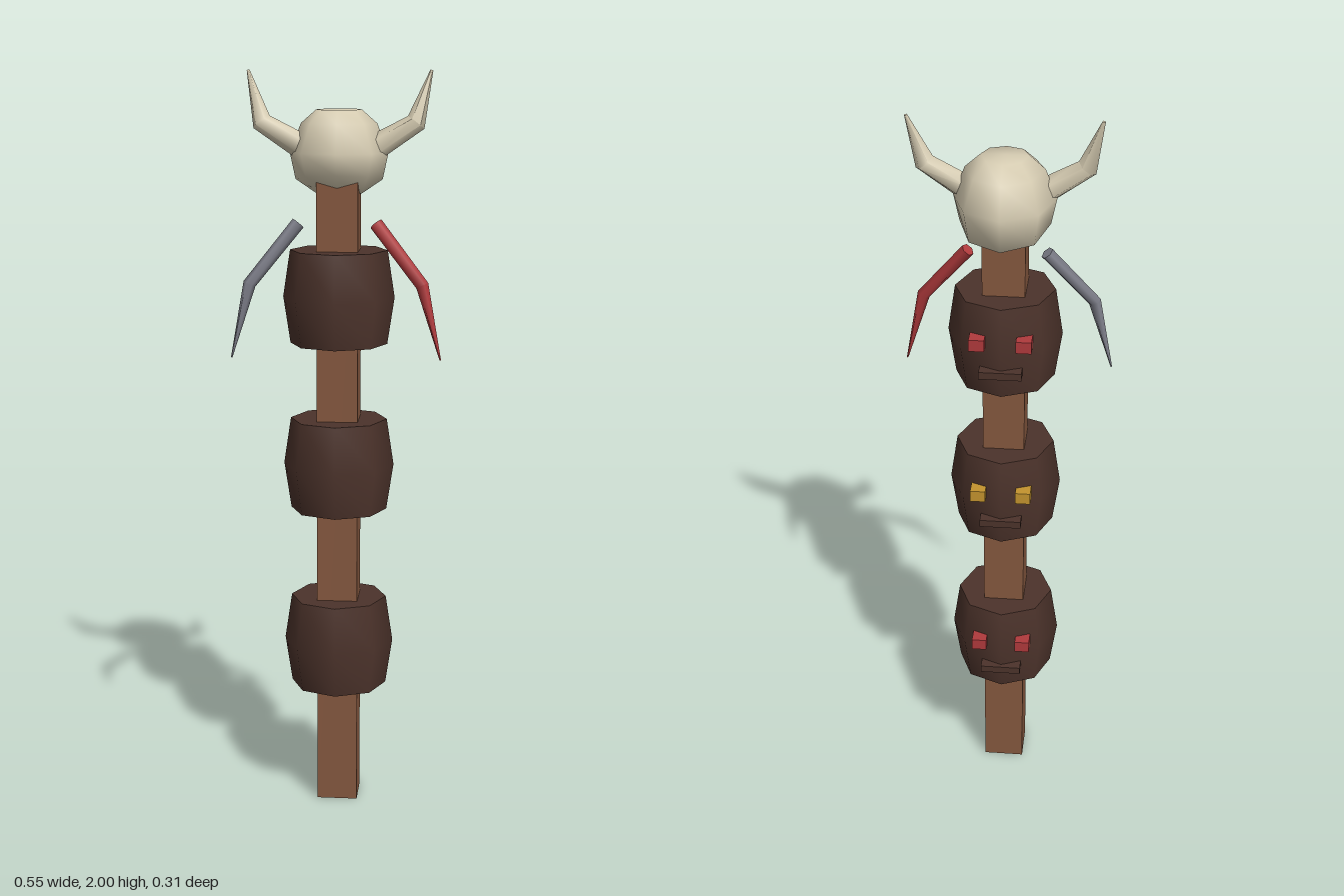
import * as THREE from 'three';
import { mergeVertices, toCreasedNormals } from 'three/addons/utils/BufferGeometryUtils.js';

const mat = (name, color) => {
  const m = new THREE.MeshStandardMaterial({ color });
  m.name = name;
  return m;
};

// Tapered bent limb: rings of vertices along a path, closed at both ends.
function limbGeometry(path, radii, sides = 6) {
  const pts = path.map((p) => new THREE.Vector3(...p));
  const pos = [];
  const index = [];
  pts.forEach((p, i) => {
    const dir = pts[Math.min(i + 1, pts.length - 1)].clone().sub(pts[Math.max(i - 1, 0)]).normalize();
    const u = new THREE.Vector3(0, 0, 1).cross(dir).normalize();
    const v = dir.clone().cross(u);
    for (let j = 0; j < sides; j++) {
      const a = (j / sides) * Math.PI * 2;
      const q = p.clone().addScaledVector(u, Math.cos(a) * radii[i]).addScaledVector(v, Math.sin(a) * radii[i]);
      pos.push(q.x, q.y, q.z);
    }
  });
  for (let i = 0; i < pts.length - 1; i++) {
    for (let j = 0; j < sides; j++) {
      const a = i * sides + j;
      const b = i * sides + ((j + 1) % sides);
      index.push(a, b, a + sides, b, b + sides, a + sides);
    }
  }
  const last = (pts.length - 1) * sides;
  for (let j = 1; j < sides - 1; j++) {
    index.push(0, j + 1, j, last, last + j, last + j + 1);
  }
  const g = new THREE.BufferGeometry();
  g.setAttribute('position', new THREE.Float32BufferAttribute(pos, 3));
  g.setIndex(index);
  return toCreasedNormals(g, 1.1);
}

// Eight-sided skull, longer towards the back and drooping there.
function skullGeometry() {
  const profile = [[0, 1.68], [0.06, 1.683], [0.115, 1.72], [0.13, 1.79], [0.1, 1.865], [0.06, 1.9], [0, 1.9]];
  let g = new THREE.LatheGeometry(profile.map(([r, y]) => new THREE.Vector2(r, y)), 8);
  const p = g.attributes.position;
  for (let i = 0; i < p.count; i++) {
    const z = p.getZ(i) * (p.getZ(i) > 0 ? 0.87 : 1.19);
    p.setZ(i, z);
    if (p.getY(i) < 1.75) p.setY(i, p.getY(i) + z * 0.15);
  }
  g.deleteAttribute('normal');
  g.deleteAttribute('uv');
  g = mergeVertices(g, 1e-4);
  g.computeVertexNormals();
  return g;
}

export function createModel() {
  const wood = mat('pole wood', 0x85583f);
  const dark = mat('dark wood', 0x4c332b);
  const bone = mat('bone', 0xd6ccb2);
  const red = mat('red', 0xb03a3c);
  const gold = mat('gold', 0xc4942e);
  const grey = mat('grey', 0x7e7f8a);

  const group = new THREE.Group();
  const add = (parent, name, geometry, material, x = 0, y = 0, z = 0) => {
    const mesh = new THREE.Mesh(geometry, material);
    mesh.name = name;
    mesh.position.set(x, y, z);
    parent.add(mesh);
    return mesh;
  };

  // Square pole
  add(group, 'pole', new THREE.BoxGeometry(0.11, 1.74, 0.11), wood, 0, 0.87, 0.008);

  // Three carved drums, each with a face on the back
  const drumProfile = [[0, -0.125], [0.13, -0.125], [0.149, 0], [0.13, 0.125], [0, 0.125]];
  const drumGeo = toCreasedNormals(
    new THREE.LatheGeometry(drumProfile.map(([r, y]) => new THREE.Vector2(r, y)), 8), 0.9);
  const eyeGeo = new THREE.BoxGeometry(0.04, 0.032, 0.045);
  const mouthGeo = new THREE.BoxGeometry(0.11, 0.02, 0.045);
  [[0.455, red], [0.955, gold], [1.41, red]].forEach(([y, eyeColor]) => {
    const drum = new THREE.Group();
    drum.name = 'drum';
    drum.position.set(0, y, 0.007);
    add(drum, 'drumBody', drumGeo, dark);
    for (const s of [-1, 1]) add(drum, 'eye', eyeGeo, eyeColor, s * 0.06, 0.032, -0.129);
    add(drum, 'mouth', mouthGeo, dark, 0, -0.052, -0.132);
    group.add(drum);
  });

  // Skull with bent horns, and a hanging spike on each side
  add(group, 'skull', skullGeometry(), bone);
  for (const s of [1, -1]) {
    const side = s > 0 ? 'left' : 'right';
    add(group, side + 'Horn', limbGeometry(
      [[s * 0.09, 1.80, 0.008], [s * 0.202, 1.868, 0.012], [s * 0.24, 2.0, -0.018]],
      [0.034, 0.027, 0.004]), bone);
    add(group, side + 'Spike', limbGeometry(
      [[s * 0.102, 1.61, 0.06], [s * 0.226, 1.455, 0.104], [s * 0.275, 1.26, 0.107]],
      [0.018, 0.017, 0.002]), s > 0 ? red : grey);
  }
  return group;
}
